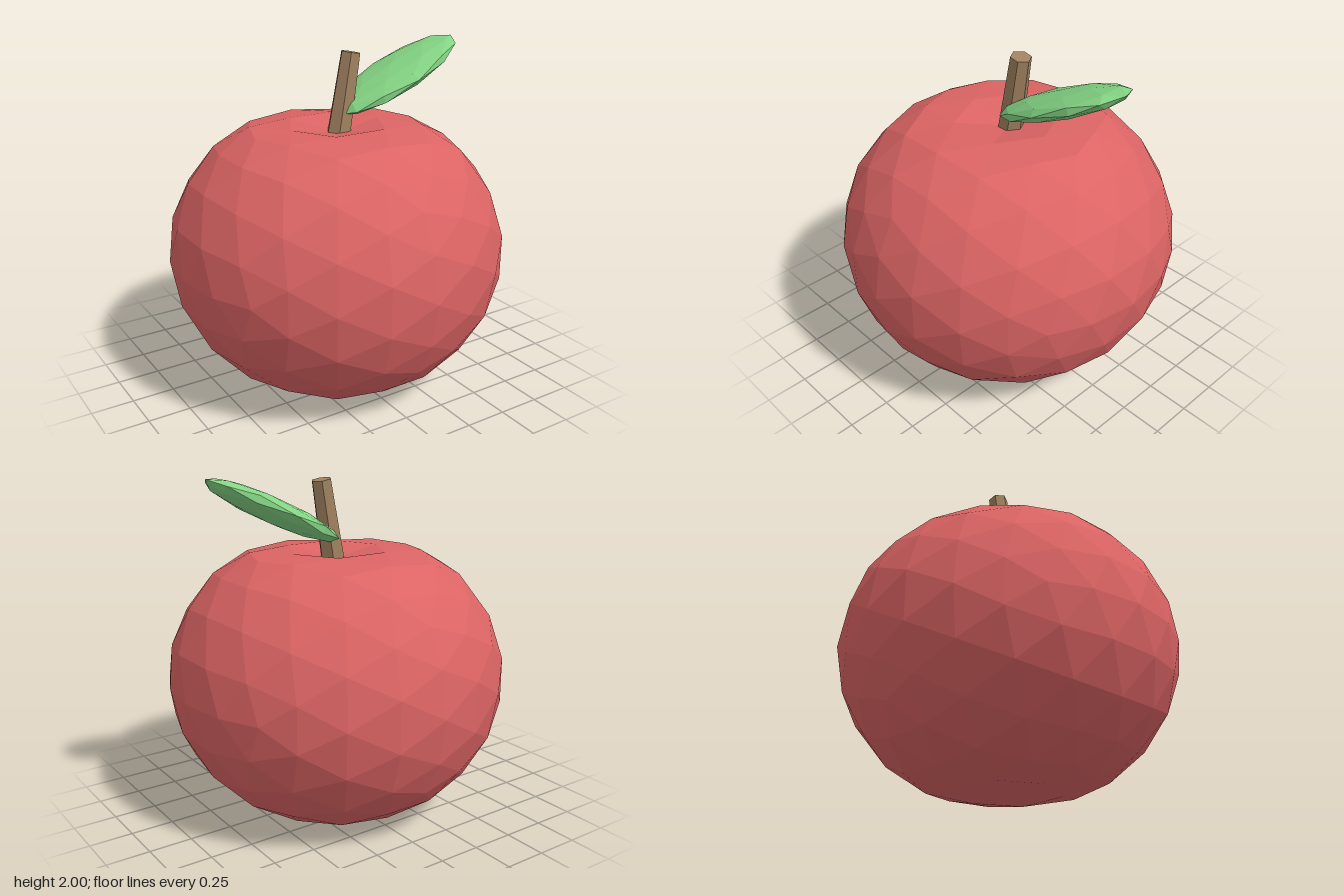
import * as THREE from 'three';

function flat(name, color) {
  const m = new THREE.MeshStandardMaterial({ color, flatShading: true });
  m.name = name;
  return m;
}

function part(name, geometry, material) {
  const mesh = new THREE.Mesh(geometry, material);
  mesh.name = name;
  return mesh;
}

// Squashed faceted ball with a deep dimple on top and a shallow one below
function fruitGeometry() {
  const geo = new THREE.IcosahedronGeometry(1, 3);
  const pos = geo.attributes.position;
  for (let i = 0; i < pos.count; i++) {
    const x = pos.getX(i), y = pos.getY(i), z = pos.getZ(i);
    const r2 = x * x + z * z;
    const dent = y > 0 ? -0.19 * Math.exp(-r2 / 0.13) : 0.105 * Math.exp(-r2 / 0.1);
    pos.setXYZ(i, x * 0.993, y * 0.888 + dent, z * 0.993);
  }
  geo.computeVertexNormals();
  return geo;
}

export function createModel() {
  const group = new THREE.Group();
  group.name = 'apple';
  const red = flat('apple red', 0xdc6464);
  const brown = flat('stem brown', 0xa08260);
  const green = flat('leaf green', 0x84d484);

  const fruit = part('fruit', fruitGeometry(), red);
  fruit.position.y = 0.805;

  // Tapered six-sided stem, leaning towards the leaf
  const stemGeo = new THREE.CylinderGeometry(0.06, 0.076, 0.54, 6);
  stemGeo.rotateY(Math.PI / 6);
  const stem = part('stem', stemGeo, brown);
  stem.position.set(0.054, 1.695, 0);
  stem.rotation.z = -0.17;

  // Leaf: a flattened faceted ball, tilted upwards
  const leafGeo = new THREE.IcosahedronGeometry(1, 1);
  leafGeo.scale(0.455, 0.07, 0.236);
  leafGeo.computeVertexNormals();
  const leaf = part('leaf', leafGeo, green);
  leaf.position.set(0.412, 1.805, 0);
  leaf.rotation.z = 0.443;

  group.add(fruit, stem, leaf);
  return group;
}
